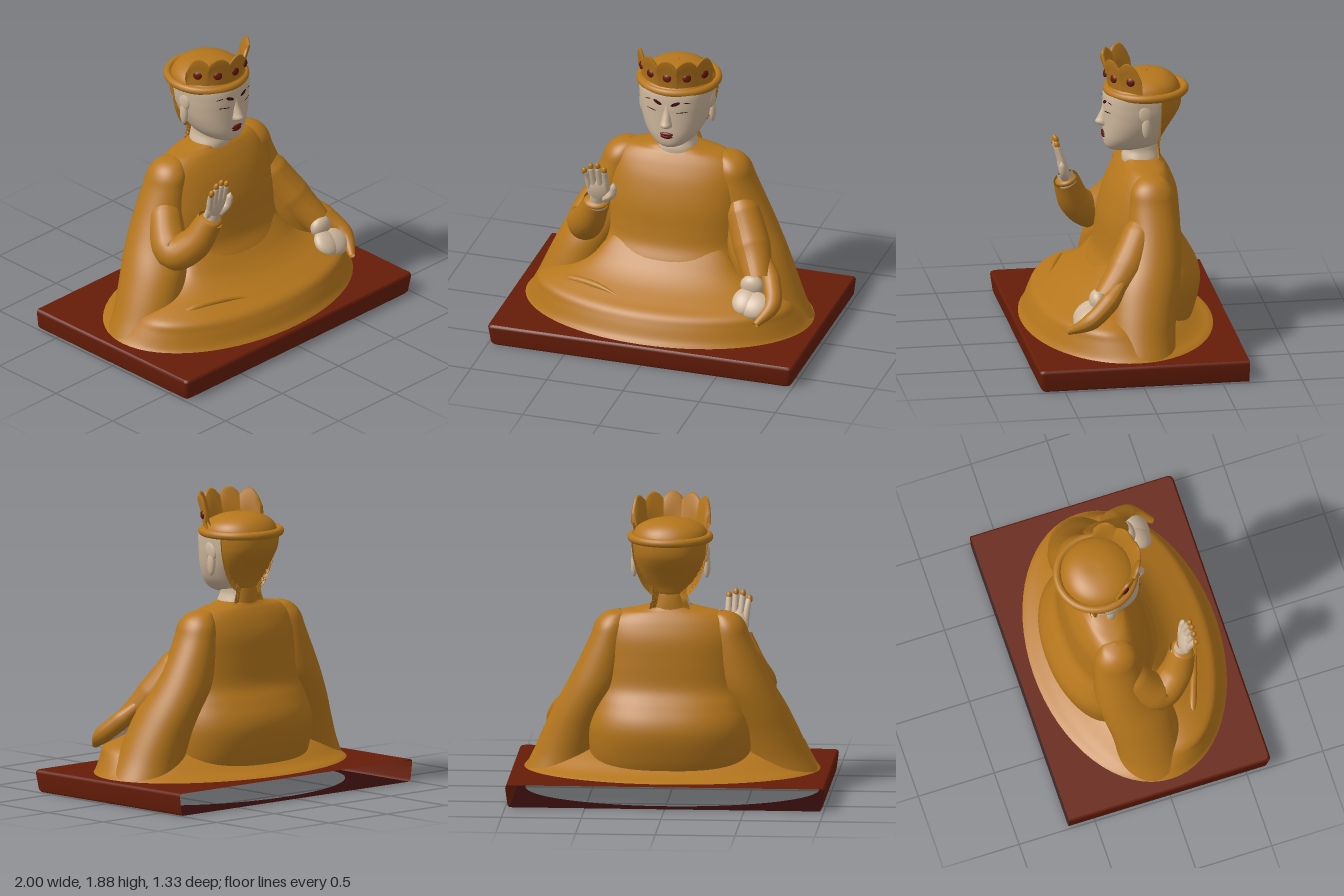
import * as THREE from 'three';

const material = (name, color, side = THREE.FrontSide) => {
  const m = new THREE.MeshStandardMaterial({ color, side });
  m.name = name;
  return m;
};
const V = (x, y, z) => new THREE.Vector3(x, y, z);

// Skin over rows of points; with closed, each row joins its own start
function surface(rows, closed) {
  const n = rows[0].length, pos = [], index = [];
  rows.forEach(r => r.forEach(p => pos.push(p.x, p.y, p.z)));
  for (let r = 0; r < rows.length - 1; r++) {
    for (let i = 0; i < (closed ? n : n - 1); i++) {
      const a = r * n + i, b = r * n + (i + 1) % n;
      index.push(a, a + n, b, b, a + n, b + n);
    }
  }
  const g = new THREE.BufferGeometry();
  g.setAttribute('position', new THREE.Float32BufferAttribute(pos, 3));
  g.setIndex(index);
  g.computeVertexNormals();
  return g;
}

// Smoothly subdivide cross-sections [y, rx, zFront, zBack, xCentre]
function refine(rings, steps = 5) {
  const at = i => rings[Math.max(0, Math.min(rings.length - 1, i))];
  const out = [];
  for (let i = 0; i < rings.length - 1; i++) {
    for (let s = 0; s < steps; s++) {
      const t = s / steps;
      out.push(at(i).map((p1, k) => {
        const p0 = at(i - 1)[k], p2 = at(i + 1)[k], p3 = at(i + 2)[k];
        return p1 + 0.5 * t * (p2 - p0 + t * (2 * p0 - 5 * p1 + 4 * p2 - p3 + t * (3 * (p1 - p2) + p3 - p0)));
      }));
    }
  }
  out.push(at(rings.length - 1));
  return out;
}

// Loft of superelliptic rings, listed from the bottom up
function loft(rings, power = 2, side = 1, segs = 64) {
  const bend = v => Math.sign(v) * Math.abs(v) ** (2 / power);
  return surface(rings.map(([y, rx, zf, zb, xc = 0]) => Array.from({ length: segs }, (_, i) => {
    const a = i / segs * Math.PI * 2;
    return V(xc * side + rx * bend(Math.cos(a)), y, (zf + zb) / 2 + (zf - zb) / 2 * bend(Math.sin(a)));
  })), true);
}

// Tube along a smooth path whose radius changes along the way
function limb(points, radii, segs = 24, sides = 20) {
  const curve = new THREE.CatmullRomCurve3(points.map(p => V(...p)));
  const g = new THREE.TubeGeometry(curve, segs, 1, sides);
  const pos = g.attributes.position, v = V(0, 0, 0);
  for (let i = 0; i < pos.count; i++) {
    const u = Math.floor(i / (sides + 1)) / segs, f = u * (radii.length - 1);
    const k = Math.min(radii.length - 2, Math.floor(f));
    const c = curve.getPointAt(u);
    v.fromBufferAttribute(pos, i).sub(c).multiplyScalar(THREE.MathUtils.lerp(radii[k], radii[k + 1], f - k)).add(c);
    pos.setXYZ(i, v.x, v.y, v.z);
  }
  g.computeVertexNormals();
  return g;
}

export function createModel() {
  const gold = material('gold', 0xb5761c, THREE.DoubleSide);
  const skin = material('skin', 0xceb79c);
  const red = material('redLacquer', 0x661d08, THREE.DoubleSide);
  const shade = material('darkUnderside', 0x300a0a, THREE.DoubleSide);
  const dark = material('darkRed', 0x641408);
  const ink = material('eyeInk', 0x3c0a10);
  const model = new THREE.Group();
  const add = (name, geometry, mat) => {
    const m = new THREE.Mesh(geometry, mat);
    m.name = name;
    model.add(m);
    return m;
  };
  const ball = (name, mat, [x, y, z], [sx, sy, sz], rx = 0, ry = 0, rz = 0) => {
    const m = add(name, new THREE.SphereGeometry(1, 24, 16), mat);
    m.position.set(x, y, z);
    m.scale.set(sx, sy, sz);
    m.rotation.set(rx, ry, rz);
  };

  // Hollow plinth: three walls, open back, top and bottom plates with an oval opening
  const outline = inset => {
    const w = 1 - inset, f = 0.66 - inset, r = 0.03, pts = [V(w, 0, -0.67)];
    for (const [cx, start] of [[w - r, 0], [-w + r, Math.PI / 2]]) {
      for (let i = 0; i <= 6; i++) {
        const a = start + i / 6 * Math.PI / 2;
        pts.push(V(cx + r * Math.cos(a), 0, f - r + r * Math.sin(a)));
      }
    }
    return [...pts, V(-w, 0, -0.67)];
  };
  const wallRows = [[0, 0.025], [0.015, 0.014], [0.12, 0], [0.133, 0.003], [0.14, 0.012]];
  add('plinthWalls', surface(wallRows.map(([y, d]) => outline(d).map(p => p.setY(y))), false), red);
  for (const [name, y, inset, hole, mat] of [['plinthTop', 0.14, 0.012, 0.9, red], ['plinthBottom', 0, 0.025, 0.92, shade]]) {
    const shape = new THREE.Shape(outline(inset).map(p => new THREE.Vector2(p.x, -p.z)));
    shape.holes.push(new THREE.Path().absellipse(0, -0.02, hole, hole * 0.64, 0, Math.PI * 2, true));
    const plate = add(name, new THREE.ShapeGeometry(shape, 64), mat);
    plate.rotation.x = -Math.PI / 2;
    plate.position.y = y;
  }

  // Robe: spreading skirt over the crossed legs, torso with full back, draped sides
  add('robeSkirt', loft(refine([
    [0.13, 0.94, 0.63, -0.595], [0.15, 0.92, 0.615, -0.56], [0.18, 0.895, 0.595, -0.48], [0.25, 0.85, 0.565, -0.36],
    [0.305, 0.81, 0.53, -0.24], [0.345, 0.73, 0.45, -0.16], [0.4, 0.58, 0.345, -0.1], [0.46, 0.48, 0.265, -0.06],
    [0.53, 0.42, 0.2, -0.04], [0.6, 0.36, 0.14, -0.02],
  ])), gold);
  add('robeTorso', loft(refine([
    [0.14, 0.46, 0.1, -0.42], [0.25, 0.5, 0.15, -0.465], [0.4, 0.52, 0.22, -0.5], [0.5, 0.51, 0.215, -0.49],
    [0.6, 0.48, 0.165, -0.44], [0.7, 0.46, 0.145, -0.385], [0.85, 0.45, 0.125, -0.37], [1.0, 0.435, 0.08, -0.355],
    [1.1, 0.405, 0.03, -0.32], [1.16, 0.33, -0.01, -0.285], [1.185, 0.22, -0.03, -0.265], [1.205, 0.13, -0.03, -0.255],
  ]), 2.2), gold);
  for (const [name, side] of [['left', 1], ['right', -1]]) {
    add(name + 'RobeDrape', loft(refine([
      [0.14, 0.22, 0.2, -0.25, 0.7], [0.25, 0.21, 0.18, -0.25, 0.655], [0.4, 0.2, 0.16, -0.27, 0.6],
      [0.55, 0.19, 0.13, -0.3, 0.54], [0.7, 0.18, 0.06, -0.32, 0.47], [0.85, 0.155, 0.01, -0.315, 0.42],
      [1.0, 0.125, -0.01, -0.3, 0.38], [1.08, 0.11, -0.02, -0.285, 0.365], [1.13, 0.09, -0.05, -0.255, 0.35],
      [1.16, 0.06, -0.09, -0.22, 0.33], [1.172, 0.005, -0.14, -0.16, 0.32],
    ]), 2, side), gold);
  }
  add('lapFold', limb([[-0.74, 0.3, 0.22], [-0.55, 0.355, 0.29], [-0.36, 0.365, 0.36], [-0.2, 0.345, 0.425]],
    [0.004, 0.025, 0.022, 0.004]), gold);

  // Sleeves: right forearm raised, left forearm lowered to the knee
  add('rightSleeve', limb([[-0.36, 1.02, -0.14], [-0.47, 0.82, -0.06], [-0.535, 0.665, 0.08], [-0.475, 0.75, 0.2],
    [-0.405, 0.92, 0.27]], [0.03, 0.105, 0.12, 0.105, 0.082], 36), gold);
  add('leftSleeve', limb([[0.35, 1.02, -0.14], [0.45, 0.82, -0.06], [0.55, 0.62, 0.05], [0.63, 0.47, 0.18]],
    [0.03, 0.11, 0.12, 0.09], 36), gold);
  add('leftSleeveHem', limb([[0.63, 0.6, 0.06], [0.715, 0.47, 0.18], [0.755, 0.37, 0.3], [0.69, 0.29, 0.43]],
    [0.03, 0.06, 0.055, 0.02]), gold);
  ball('rightCuff', gold, [-0.405, 0.915, 0.27], [0.085, 0.03, 0.07], 0.3);

  // Raised right hand with gilded fingertips
  ball('rightPalm', skin, [-0.385, 1.0, 0.29], [0.075, 0.095, 0.032], 0.25);
  add('rightWrist', limb([[-0.4, 0.87, 0.25], [-0.39, 0.98, 0.285]], [0.055, 0.05], 6), skin);
  const fingers = [[-0.438, -0.462, 1.165], [-0.405, -0.42, 1.2], [-0.367, -0.376, 1.208], [-0.33, -0.332, 1.185]];
  for (const [x0, x1, top] of fingers) {
    add('rightFinger', limb([[x0, 1.02, 0.295], [(x0 + x1) / 2, 1.11, 0.32], [x1, top, 0.345]],
      [0.021, 0.022, 0.022, 0.021, 0.02, 0.019, 0.018, 0.002], 21, 12), skin);
    ball('rightFingertip', gold, [x1, top - 0.014, 0.338], [0.018, 0.028, 0.0175], 0.3);
  }
  add('rightThumb', limb([[-0.35, 0.95, 0.285], [-0.29, 1.0, 0.305], [-0.275, 1.085, 0.32]],
    [0.028, 0.028, 0.027, 0.025, 0.023, 0.02, 0.002], 18, 12), skin);

  // Left hand lying on the knee, fingers together
  ball('leftWrist', skin, [0.605, 0.46, 0.235], [0.075, 0.07, 0.05]);
  ball('leftPalm', skin, [0.58, 0.38, 0.31], [0.08, 0.045, 0.09], 0.75);
  ball('leftFingers', skin, [0.645, 0.365, 0.315], [0.1, 0.05, 0.092], 0.75);

  // Head: skin in front, gold hair behind a vertical line, gold dome on top
  const head = refine([
    [1.245, 0.02, 0.02, -0.16], [1.252, 0.06, 0.055, -0.2], [1.28, 0.115, 0.09, -0.245], [1.34, 0.168, 0.1, -0.27],
    [1.42, 0.205, 0.1, -0.315], [1.5, 0.226, 0.1, -0.365], [1.56, 0.235, 0.1, -0.388], [1.64, 0.238, 0.09, -0.388],
    [1.7, 0.21, 0.045, -0.36], [1.74, 0.14, -0.03, -0.31], [1.758, 0.06, -0.11, -0.25], [1.76, 0.002, -0.17, -0.18],
  ]);
  const clampZ = (g, lo, hi) => {
    const p = g.attributes.position;
    for (let i = 0; i < p.count; i++) p.setZ(i, Math.min(hi, Math.max(lo, p.getZ(i))));
    return g;
  };
  const lower = head.filter(r => r[0] <= 1.641), split = -0.235;
  add('face', clampZ(loft(lower, 2.3), split + 0.002, 1), skin);
  add('hairBack', clampZ(loft(lower.filter(r => r[3] < split - 0.004), 2.3), -1, split), gold);
  add('hairDome', loft(head.filter(r => r[0] >= 1.639), 2.1), gold);
  const neck = refine([[1.17, 0.135, -0.02, -0.262], [1.205, 0.125, -0.02, -0.26], [1.25, 0.11, -0.035, -0.256],
    [1.29, 0.108, -0.03, -0.25], [1.33, 0.1, -0.03, -0.242]]);
  add('neck', clampZ(loft(neck, 2.3), split + 0.004, 1), skin);
  add('neckHair', clampZ(loft(neck, 2.3), -1, split - 0.002), gold);

  // Facial features laid on the surface of the face
  const faceZ = (x, y) => {
    const [, rx, zf, zb] = head.find(r => r[0] >= y);
    return (zf + zb) / 2 + (zf - zb) / 2 * (1 - Math.abs(x / rx) ** 2.3) ** (1 / 2.3);
  };
  const paint = (name, x, y, w, h, tilt, mat) => {
    const g = new THREE.CircleGeometry(1, 24).scale(w, h, 1).rotateZ(tilt).translate(x, y, 0);
    const p = g.attributes.position;
    for (let i = 0; i < p.count; i++) p.setZ(i, faceZ(p.getX(i), p.getY(i)) + 0.006);
    g.computeVertexNormals();
    add(name, g, mat);
  };
  add('nose', loft(refine([[1.405, 0.01, 0.1, 0.04], [1.415, 0.034, 0.13, 0.04], [1.435, 0.038, 0.15, 0.04],
    [1.465, 0.032, 0.135, 0.04], [1.52, 0.026, 0.11, 0.04], [1.57, 0.02, 0.099, 0.04]]), 2, 1, 32), skin);
  ball('upperLip', dark, [0, 1.363, 0.096], [0.044, 0.014, 0.016]);
  ball('lowerLip', dark, [0, 1.347, 0.095], [0.04, 0.016, 0.016]);
  for (const s of [1, -1]) {
    paint('brow', s * 0.058, 1.58, 0.031, 0.011, s * 0.4, ink);
    paint('browTail', s * 0.128, 1.588, 0.02, 0.003, -s * 0.2, ink);
    paint('eyelid', s * 0.1, 1.524, 0.038, 0.003, s * 0.1, ink);
    // Long-lobed ear
    ball('ear', skin, [s * 0.226, 1.535, -0.135], [0.02, 0.066, 0.045], 0.25);
    ball('earLobe', skin, [s * 0.228, 1.455, -0.14], [0.022, 0.078, 0.03]);
  }

  // Crown: ring, five-lobed front wall, gems
  const ring = add('crownRing', new THREE.TorusGeometry(0.243, 0.026, 16, 64), gold);
  ring.rotation.x = Math.PI / 2;
  ring.position.set(0, 1.642, -0.17);
  const pitch = 0.52, span = pitch * 2.6;
  // Wall flares outward; lobes peak at multiples of the pitch, ends round off
  const crownPoint = (a, v, inset) => {
    const r = 0.235 + 0.025 * v * v - inset;
    const edge = Math.sqrt(Math.max(0, 1 - (Math.abs(a) / span) ** 10));
    const height = 0.08 + edge * (0.11 + 0.05 * Math.abs(Math.cos(a / pitch * Math.PI)) ** 0.8);
    return V(r * Math.sin(a), 1.64 + v * height, -0.17 + (r + 0.03 * v) * Math.cos(a));
  };
  const profile = [[0, 0], [0.25, 0], [0.5, 0], [0.75, 0], [0.96, 0], [1, 0.01], [0.96, 0.022], [0.5, 0.022], [0, 0.022]];
  add('crownWall', surface(profile.map(([v, inset]) => Array.from({ length: 121 }, (_, i) =>
    crownPoint((1 - i / 60) * span, v, inset))), false), gold);
  for (let k = -2; k <= 2; k++) {
    const a = k * pitch, p = crownPoint(a, 0.5, 0);
    ball('crownGem', dark, [p.x, 1.75, p.z], [0.028, 0.027, 0.013], -0.15, a);
  }
  return model;
}
